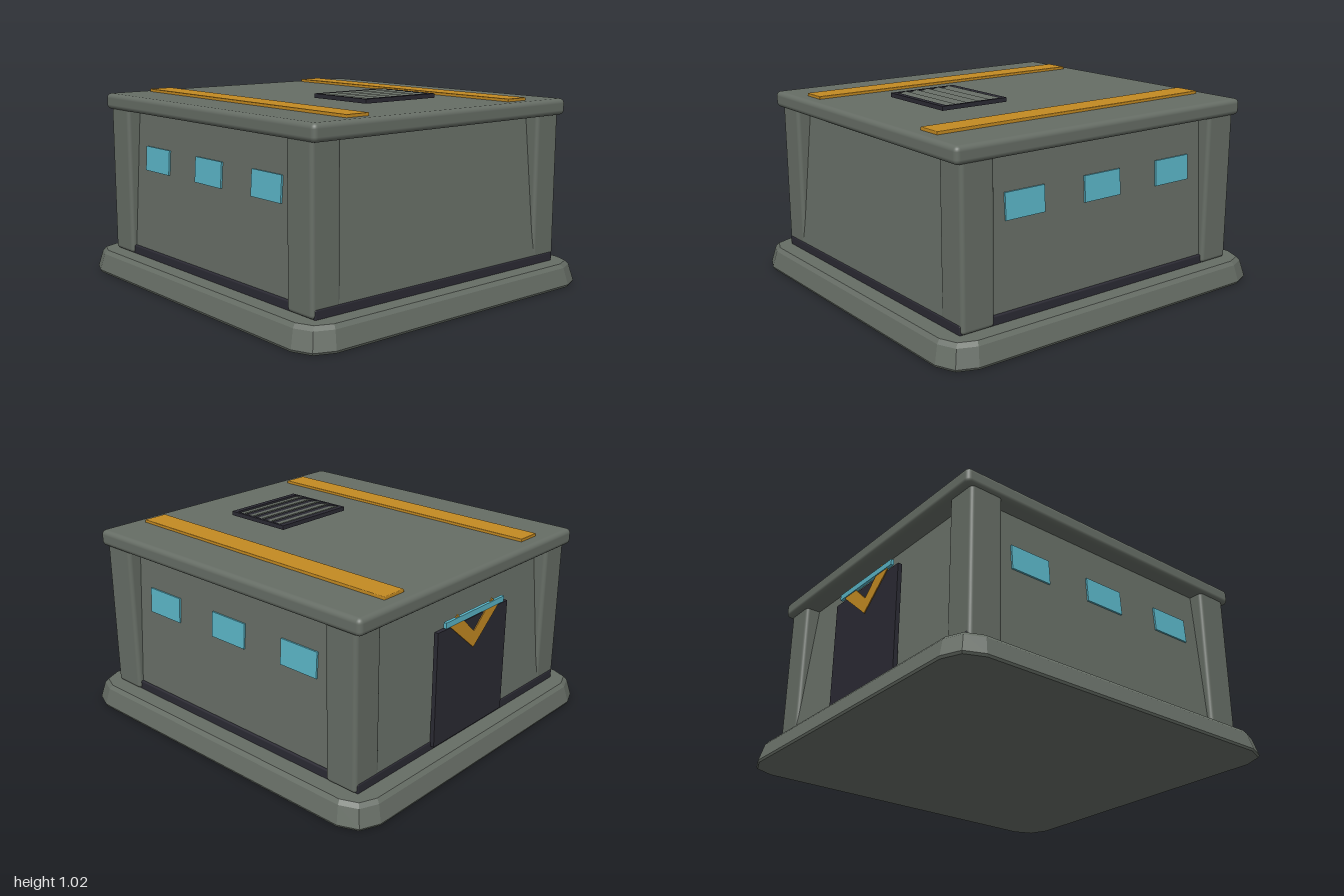
import * as THREE from 'three';
import { RoundedBoxGeometry } from 'three/addons/geometries/RoundedBoxGeometry.js';

const paint = (name, color) => {
  const m = new THREE.MeshStandardMaterial({ color });
  m.name = name;
  return m;
};

// Rounded-rectangle ring in the xz plane, as [x, z] points
function ring(hx, hz, r, seg) {
  const pts = [];
  [[1, 1], [-1, 1], [-1, -1], [1, -1]].forEach(([sx, sz], q) => {
    for (let i = 0; i <= seg; i++) {
      const a = (q + (seg ? i / seg : 0.5)) * Math.PI / 2;
      pts.push(r ? [sx * (hx - r) + r * Math.cos(a), sz * (hz - r) + r * Math.sin(a)] : [sx * hx, sz * hz]);
    }
  });
  return pts;
}

// Stack of rings [halfX, halfZ, y, radius], capped at both ends, faceted
function loft(levels, seg) {
  const pos = [];
  const rings = levels.map(([hx, hz, y, r]) => ring(hx, hz, r, seg).map(([x, z]) => [x, y, z]));
  const n = rings[0].length;
  const tri = (a, b, c) => pos.push(...a, ...b, ...c);
  for (let k = 0; k < rings.length - 1; k++) {
    for (let i = 0; i < n; i++) {
      const j = (i + 1) % n, lo = rings[k], hi = rings[k + 1];
      tri(lo[i], hi[i], hi[j]);
      tri(lo[i], hi[j], lo[j]);
    }
  }
  const bottom = rings[0], top = rings[rings.length - 1];
  for (let i = 1; i < n - 1; i++) {
    tri(bottom[0], bottom[i], bottom[i + 1]);
    tri(top[0], top[i + 1], top[i]);
  }
  const g = new THREE.BufferGeometry();
  g.setAttribute('position', new THREE.Float32BufferAttribute(pos, 3));
  g.computeVertexNormals();
  return g;
}

export function createModel() {
  const model = new THREE.Group();
  model.name = 'bunker';
  const body = paint('greyGreen', 0x666d65);
  const dark = paint('charcoal', 0x2b2a33);
  const orange = paint('amber', 0xc48a22);
  const teal = paint('tealGlass', 0x5ab4c6);

  const add = (name, geometry, material, x = 0, y = 0, z = 0, parent = model) => {
    const m = new THREE.Mesh(geometry, material);
    m.name = name;
    m.position.set(x, y, z);
    parent.add(m);
    return m;
  };
  const box = (w, h, d) => new THREE.BoxGeometry(w, h, d);

  // Foundation slab with sloping sides and clipped corners
  add('foundation', loft([
    [0.935, 0.995, 0, 0.14], [0.94, 1, 0.012, 0.14],
    [0.917, 0.977, 0.1, 0.13], [0.9, 0.96, 0.12, 0.12],
  ], 2), body);

  // Dark skirt and battered walls
  add('skirt', new RoundedBoxGeometry(1.63, 0.055, 1.75, 2, 0.008), dark, 0, 0.138, 0);
  add('walls', loft([[0.805, 0.873, 0.14, 0], [0.755, 0.79, 0.92, 0]], 0), body);

  // Corner posts
  const postGeometry = new RoundedBoxGeometry(0.167, 0.81, 0.182, 3, 0.02);
  for (const sx of [-1, 1]) for (const sz of [-1, 1]) {
    add('cornerPost', postGeometry, body, sx * 0.7465, 0.525, sz * 0.78);
  }

  // Roof slab with two stripes
  add('roof', new RoundedBoxGeometry(1.69, 0.085, 1.81, 3, 0.025), body, 0, 0.9425, 0);
  for (const s of [-1, 1]) {
    add('roofStripe', new RoundedBoxGeometry(0.135, 0.018, 1.67, 1, 0.004), orange, s * 0.5375, 0.991, 0);
  }

  // Roof vent: backing plate, frame and tilted slats
  const vent = new THREE.Group();
  vent.name = 'roofVent';
  vent.position.set(0, 1, 0.355);
  model.add(vent);
  add('ventPlate', box(0.47, 0.012, 0.39), dark, 0, 0.006, 0, vent);
  for (const s of [-1, 1]) {
    add('ventSideRail', box(0.015, 0.022, 0.39), dark, s * 0.2275, 0.011, 0, vent);
    add('ventEndRail', box(0.44, 0.022, 0.03), dark, 0, 0.011, s * 0.18, vent);
  }
  for (let i = 0; i < 5; i++) {
    const slat = add('ventSlat', box(0.44, 0.006, 0.05), body, 0, 0.0155, -0.136 + i * 0.068, vent);
    slat.rotation.x = 0.2;
  }

  // Three windows on each side, lying on the sloping wall
  for (const s of [-1, 1]) for (const z of [-0.478, 0, 0.478]) {
    const pane = add('window', box(0.009, 0.13, 0.23), teal, s * 0.777, 0.655, z);
    pane.rotation.z = s * 0.063;
  }

  // Rear door, its chevron and the light bar above
  add('door', box(0.565, 0.6, 0.023), dark, 0, 0.44, -0.8815);
  const v = new THREE.Shape([
    [0, 0.58], [0.195, 0.745], [0.14, 0.795], [0, 0.665], [-0.14, 0.795], [-0.195, 0.745],
  ].map(([x, y]) => new THREE.Vector2(x, y)));
  add('doorChevron', new THREE.ExtrudeGeometry(v, { depth: 0.006, bevelEnabled: false }), orange, 0, 0, -0.898);
  add('doorLight', box(0.47, 0.03, 0.016), teal, 0, 0.765, -0.895);

  return model;
}
